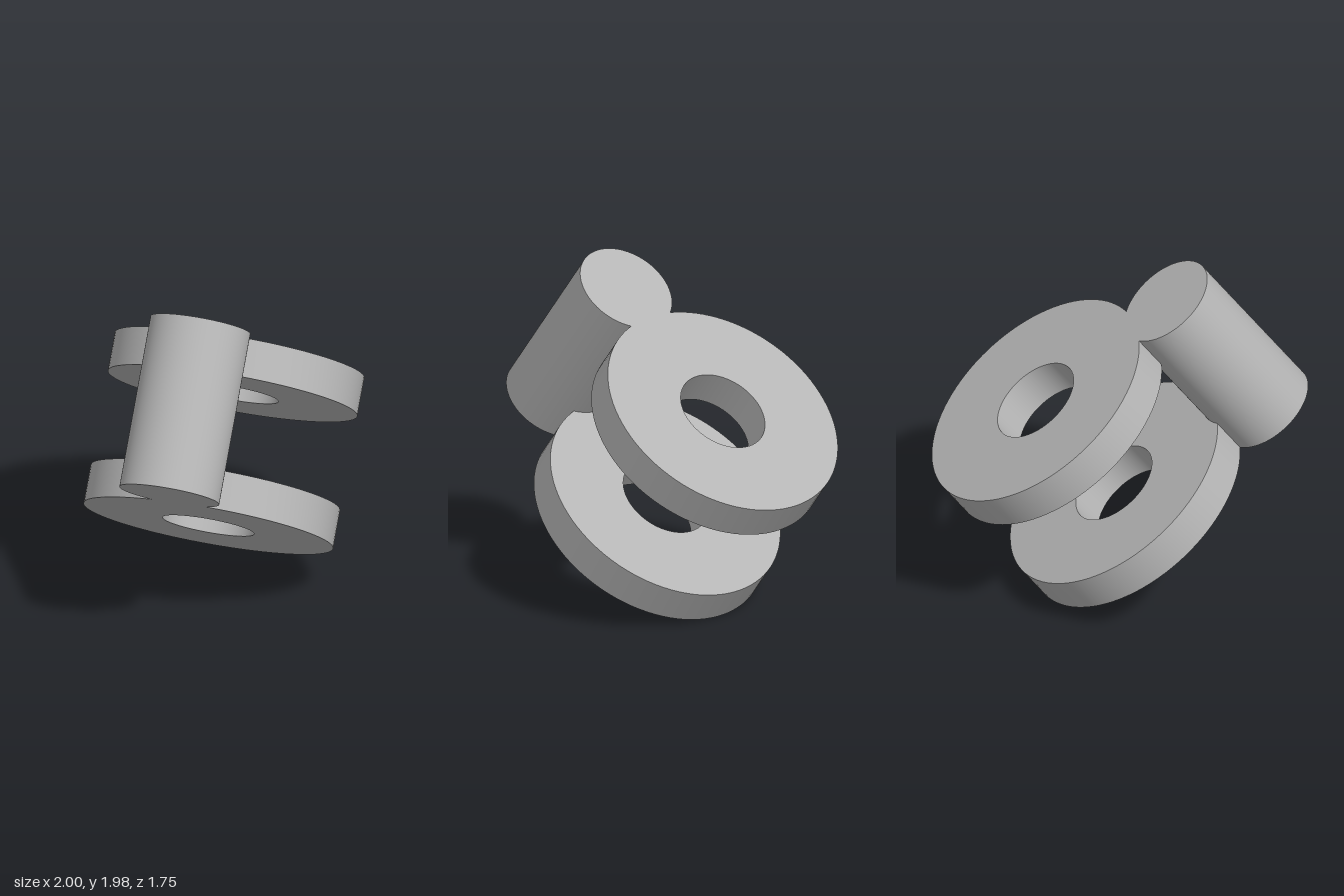
import * as THREE from 'three';
import { toCreasedNormals } from 'three/addons/utils/BufferGeometryUtils.js';

const LENGTH = 1.005, THICKNESS = 0.225;
const DISC_RADIUS = 0.728, HOLE_RADIUS = 0.267, PILLAR_RADIUS = 0.291;

// Flat ring with its underside on y = 0
function ringGeometry() {
  const shape = new THREE.Shape().absarc(0, 0, DISC_RADIUS, 0, Math.PI * 2, false);
  shape.holes.push(new THREE.Path().absarc(0, 0, HOLE_RADIUS, 0, Math.PI * 2, true));
  const geometry = new THREE.ExtrudeGeometry(shape, { depth: THICKNESS, bevelEnabled: false, curveSegments: 48 });
  geometry.rotateX(-Math.PI / 2);
  return toCreasedNormals(geometry, Math.PI / 6);
}

export function createModel() {
  const model = new THREE.Group();
  model.name = 'doubleLugBracket';
  const grey = new THREE.MeshStandardMaterial({ color: 0xb4b4b4 });
  grey.name = 'plain grey';

  const add = (name, geometry, x, y) => {
    const mesh = new THREE.Mesh(geometry, grey);
    mesh.name = name;
    mesh.position.set(x, y, 0);
    bracket.add(mesh);
  };

  // Tilted frame: y along the shared axis, x from the discs to the pillar
  const bracket = new THREE.Group();
  bracket.name = 'bracket';
  const axis = new THREE.Vector3(0.484, 0.807, -0.339).normalize();
  const side = new THREE.Vector3(-0.625, 0.562, 0.447);
  side.addScaledVector(axis, -side.dot(axis)).normalize();
  const third = new THREE.Vector3().crossVectors(side, axis);
  bracket.quaternion.setFromRotationMatrix(new THREE.Matrix4().makeBasis(side, axis, third));
  bracket.position.set(-0.127, 0.432, 0.148);
  model.add(bracket);

  // Two coaxial ring lugs, flush with the ends of the pillar
  const ring = ringGeometry();
  add('lowerLug', ring, 0, 0);
  add('upperLug', ring, 0, LENGTH - THICKNESS);

  // Solid pillar joining the lugs
  add('pillar', new THREE.CylinderGeometry(PILLAR_RADIUS, PILLAR_RADIUS, LENGTH, 96), 0.952, LENGTH / 2);

  return model;
}
